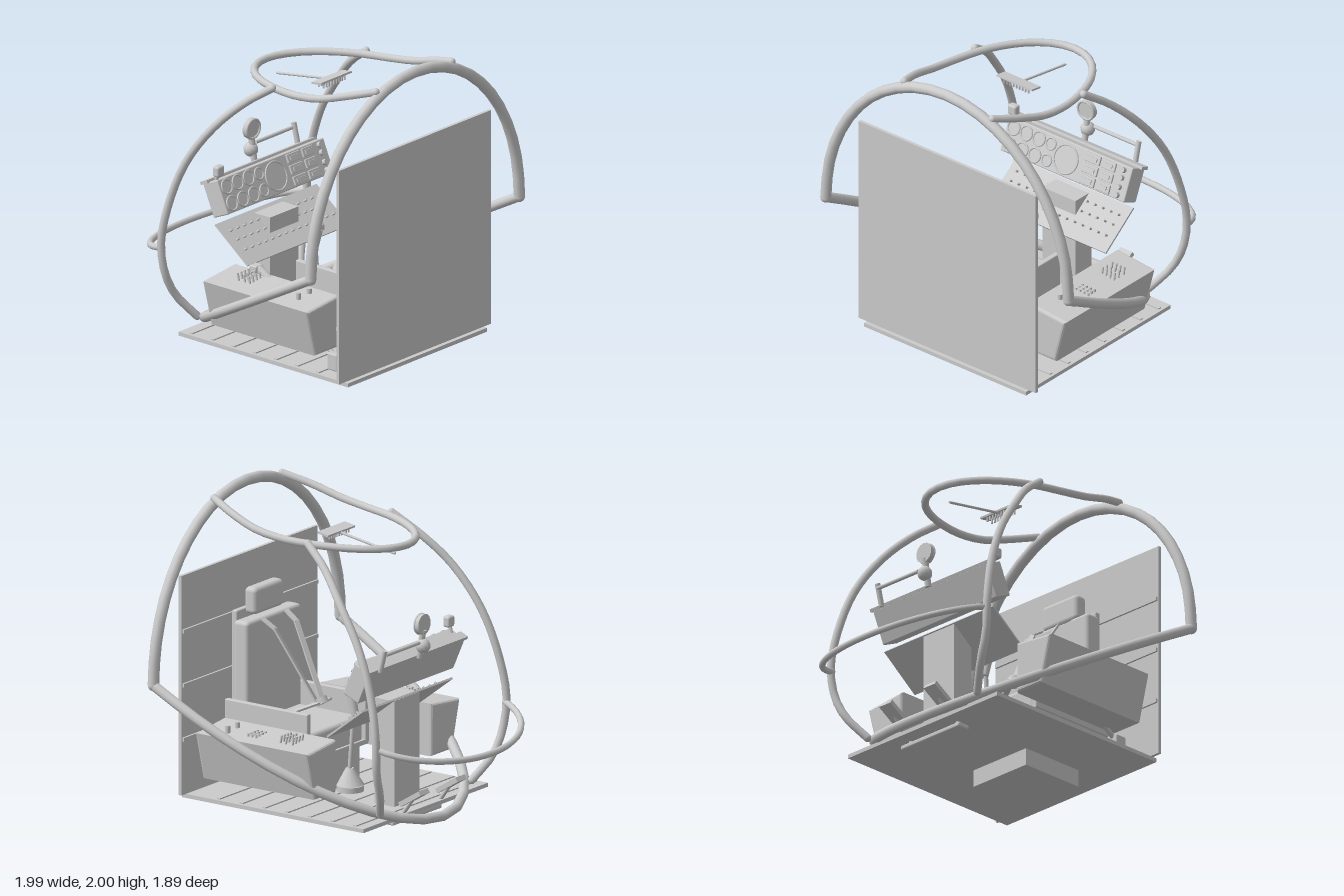
import * as THREE from 'three';
import { RoundedBoxGeometry } from 'three/addons/geometries/RoundedBoxGeometry.js';

const V = (x, y, z) => new THREE.Vector3(x, y, z);

export function createModel() {
  const model = new THREE.Group();
  model.name = 'cockpitSimulator';
  const mat = new THREE.MeshStandardMaterial({ color: 0xcccccc });

  // Helpers
  const add = (name, geo, x = 0, y = 0, z = 0, parent = model) => {
    const m = new THREE.Mesh(geo, mat);
    m.name = name;
    m.position.set(x, y, z);
    parent.add(m);
    return m;
  };
  // Box given by its limits on each axis
  const box = (name, x0, x1, y0, y1, z0, z1, r = 0, parent = model) => {
    const s = [x1 - x0, y1 - y0, z1 - z0];
    const g = r ? new RoundedBoxGeometry(...s, 3, r) : new THREE.BoxGeometry(...s);
    return add(name, g, (x0 + x1) / 2, (y0 + y1) / 2, (z0 + z1) / 2, parent);
  };
  const ball = (name, r, p) => add(name, new THREE.SphereGeometry(r, 12, 8), p.x, p.y, p.z);
  const tube = (name, pts, r, seg = 24) => {
    add(name, new THREE.TubeGeometry(new THREE.CatmullRomCurve3(pts), seg, r, 10));
    ball(name + 'End', r, pts[0]);
    ball(name + 'End', r, pts[pts.length - 1]);
  };
  const rod = (name, a, b, r0, r1 = r0, parent = model) => {
    const d = b.clone().sub(a);
    const m = add(name, new THREE.CylinderGeometry(r1, r0, d.length(), 14), 0, 0, 0, parent);
    m.position.copy(a).addScaledVector(d, 0.5);
    m.quaternion.setFromUnitVectors(V(0, 1, 0), d.normalize());
    return m;
  };
  // Points of an arch, from t0 to PI - t0
  const arch = (t0, f, n = 16) => Array.from({ length: n + 1 }, (_, i) => {
    const t = t0 + (Math.PI - 2 * t0) * i / n;
    return f(Math.cos(t), Math.sin(t));
  });

  // Tubular cage
  tube('rearHoop', arch(0, (c, s) => V(0.96 * c, 0.89 + 1.075 * s, 0.91)), 0.035);
  tube('lowerHoop', arch(0, (c, s) => V(0.96 * c, 0.89 - 0.795 * s, 0.91 - 1.47 * s)), 0.032);
  tube('roofRing', arch(-0.655, (c, s) => V(0.44 * c, 1.795 - 0.04 * s + 0.11 * Math.max(0, -s / 0.61), 0.45 - 0.74 * s)), 0.024, 36);
  tube('noseRing', arch(0.1, (c, s) => V(0.665 * c, 0.67 - 0.12 * s, -0.5 - 0.425 * s)), 0.02);
  for (const s of [-1, 1]) {
    tube('sideBow', [
      [0.43, 1.79, 0.14], [0.49, 1.67, -0.03], [0.57, 1.5, -0.2], [0.62, 1.25, -0.38], [0.65, 0.98, -0.49],
      [0.67, 0.7, -0.545], [0.65, 0.5, -0.535], [0.58, 0.34, -0.51], [0.47, 0.19, -0.43],
    ].map(([x, y, z]) => V(s * x, y, z)), 0.025);
  }

  // Floor, underside and rear wall
  box('floor', -0.64, 0.64, 0.11, 0.135, -0.43, 0.93);
  for (let i = 0; i < 7; i++) {
    const z = 0.67 - i * 0.17;
    box('floorStrip', -0.62, 0.62, 0.135, 0.143, z - 0.012, z + 0.012);
  }
  box('pedestalBase', -0.225, 0.225, 0, 0.37, 0.23, 0.68);
  box('footBar', -0.25, 0.25, 0.055, 0.085, -0.37, -0.28, 0.01);
  for (const s of [-1, 1]) rod('footBarPost', V(s * 0.2, 0.08, -0.325), V(s * 0.2, 0.115, -0.325), 0.015);
  box('rearWall', -0.7, 0.7, 0.14, 1.52, 0.89, 0.91);
  for (const y of [0.49, 0.83, 1.17]) box('wallRib', -0.69, 0.69, y - 0.012, y + 0.012, 0.877, 0.89);

  // Seat
  box('seatCushion', -0.28, 0.28, 0.36, 0.53, 0.24, 0.78, 0.03);
  box('seatBack', -0.28, 0.28, 0.5, 1.16, 0.7, 0.81, 0.025);
  box('seatBackPlate', -0.24, 0.24, 0.4, 1.21, 0.81, 0.85, 0.01);
  box('headrest', -0.15, 0.15, 1.17, 1.34, 0.735, 0.825, 0.03);
  box('seatPan', -0.31, 0.31, 0.35, 0.38, 0.225, 0.84);
  for (const s of [-1, 1]) {
    box('seatSide', s * 0.3 - 0.018, s * 0.3 + 0.018, 0.355, 0.67, 0.225, 0.845, 0.008);
    rod('headrestPost', V(s * 0.07, 1.1, 0.79), V(s * 0.07, 1.2, 0.79), 0.012);
  }

  // Harness: flat straps meeting at a buckle
  const strap = (name, a, b) => {
    const m = add(name, new THREE.BoxGeometry(0.035, 0.012, a.distanceTo(b) + 0.01));
    m.position.copy(a).lerp(b, 0.5);
    m.lookAt(b);
  };
  for (const s of [-1, 1]) {
    strap('shoulderStrap', V(s * 0.12, 1.15, 0.7), V(s * 0.11, 1.1, 0.62));
    strap('shoulderStrap', V(s * 0.11, 1.1, 0.62), V(s * 0.03, 0.67, 0.37));
    strap('lapStrap', V(s * 0.26, 0.55, 0.6), V(s * 0.2, 0.62, 0.44));
    strap('lapStrap', V(s * 0.2, 0.62, 0.44), V(s * 0.03, 0.66, 0.35));
  }
  rod('buckle', V(0, 0.65, 0.34), V(0, 0.685, 0.36), 0.04);

  // Side consoles with switches and knobs
  for (const s of [-1, 1]) {
    const pts = [[0.51, 0.3], [0.69, 0.3], [0.76, 0.565], [0.51, 0.59]].map(([x, y]) => new THREE.Vector2(s * x, y));
    const geo = new THREE.ExtrudeGeometry(new THREE.Shape(pts), {
      depth: 0.81, bevelThickness: 0.02, bevelSize: 0.02, bevelSegments: 3,
    });
    add('sideConsole', geo, 0, 0, -0.1);
    const off = s > 0 ? 0.59 : 0.56;
    for (let i = 0; i < 4; i++) {
      const x = s * (off + i * 0.032);
      for (const z of [0.07, 0.12, 0.16]) rod('toggle', V(x, 0.58, z), V(x, 0.64, z - 0.012), 0.007);
      for (const z of [0.34, 0.37, 0.4]) box('button', x - 0.006, x + 0.006, 0.58, 0.61, z - 0.006, z + 0.006);
    }
    for (const x of [off, off + 0.1]) rod('knob', V(s * x, 0.57, 0.55), V(s * x, 0.635, 0.55), 0.016);
  }

  // Collective lever
  box('leverMount', -0.55, -0.48, 0.14, 0.25, 0.68, 0.76, 0.01);
  rod('leverArm', V(-0.51, 0.22, 0.72), V(-0.51, 0.58, 0.2), 0.016);
  rod('leverGrip', V(-0.51, 0.56, 0.23), V(-0.51, 0.64, 0.1), 0.026);
  box('leverHead', -0.545, -0.48, 0.61, 0.66, 0.05, 0.11, 0.01);

  // Control stick
  rod('stickBoot', V(0, 0.14, 0.135), V(0, 0.175, 0.135), 0.085);
  rod('stickBoot', V(0, 0.175, 0.135), V(0, 0.28, 0.14), 0.085, 0.025);
  rod('stick', V(0, 0.26, 0.14), V(0, 0.63, 0.11), 0.014);
  rod('stickGrip', V(0, 0.62, 0.1), V(0, 0.76, 0.13), 0.024, 0.032);
  box('stickHead', -0.04, 0.04, 0.74, 0.79, 0.09, 0.155, 0.015);

  // Foot pedals
  for (const s of [-1, 1]) {
    box('pedal', s * 0.19 - 0.048, s * 0.19 + 0.048, 0.225, 0.255, -0.57, -0.39).rotation.x = 0.56;
    rod('pedalArm', V(s * 0.19, 0.13, -0.4), V(s * 0.19, 0.23, -0.47), 0.014);
  }

  // Centre column and sloped lower panel
  box('centreColumn', -0.13, 0.13, 0.135, 0.8, -0.29, -0.14);
  const lower = new THREE.Group();
  lower.name = 'lowerPanel';
  lower.position.set(0, 0.71, -0.16);
  lower.rotation.x = 0.655;
  model.add(lower);
  box('panelPlate', -0.465, 0.465, -0.006, 0.006, -0.165, 0.165, 0, lower);
  for (let i = 0; i < 14; i++) {
    const x = -0.4 + i * 0.062;
    for (const z of [-0.09, -0.02, 0.06]) rod('toggle', V(x, 0, z), V(x, 0.03, z + 0.008), 0.007, 0.007, lower);
  }

  // Main instrument panel, leaning away from the seat
  const panel = new THREE.Group();
  panel.name = 'instrumentPanel';
  panel.position.set(0, 0.99, -0.265);
  panel.rotation.x = -0.41;
  model.add(panel);
  box('panelBody', -0.49, 0.49, -0.11, 0.11, -0.065, 0.06, 0.008, panel);
  box('glareShield', -0.505, 0.505, 0.105, 0.125, -0.07, -0.01, 0, panel);
  const gauge = (x, y, r) => {
    rod('gaugeFace', V(x, y, 0.05), V(x, y, 0.066), r, r, panel);
    add('gaugeRim', new THREE.TorusGeometry(r, 0.006, 8, 24), x, y, 0.066, panel);
  };
  for (const x of [-0.43, -0.33, -0.23]) for (const y of [-0.053, 0.053]) gauge(x, y, 0.044);
  gauge(0, 0, 0.09);
  gauge(-0.135, 0.053, 0.036);
  gauge(-0.135, -0.053, 0.036);
  for (const [x0, x1] of [[0.13, 0.25], [0.27, 0.37]]) {
    for (const y of [-0.07, 0, 0.07]) {
      box('radioModule', x0, x1, y - 0.028, y + 0.028, 0.05, 0.072, 0.004, panel);
      box('radioKey', x0 + 0.02, x1 - 0.02, y - 0.012, y + 0.012, 0.07, 0.08, 0, panel);
    }
  }
  for (const y of [-0.08, -0.03, 0.03, 0.08]) rod('panelKnob', V(0.43, y, 0.05), V(0.43, y, 0.085), 0.018, 0.018, panel);

  // Fittings on top of the panel
  rod('compassStem', V(0, 1.06, -0.38), V(0, 1.24, -0.41), 0.02);
  ball('compassBase', 0.046, V(0, 1.14, -0.41));
  rod('compassDisc', V(0, 1.275, -0.42), V(0, 1.275, -0.39), 0.065);
  add('compassRim', new THREE.TorusGeometry(0.06, 0.008, 8, 24), 0, 1.275, -0.39);
  box('canister', -0.495, -0.43, 1.13, 1.2, -0.29, -0.24, 0.015);
  rod('canisterFoot', V(-0.46, 1.08, -0.29), V(-0.46, 1.15, -0.27), 0.012);
  rod('sensorRod', V(0.05, 1.17, -0.415), V(0.4, 1.17, -0.415), 0.012);
  rod('sensorPost', V(0.4, 1.06, -0.38), V(0.4, 1.2, -0.415), 0.017);

  // Overhead switch plate on its arm
  rod('overheadArm', V(0, 1.755, 0.24), V(0, 1.685, -0.2), 0.008);
  box('overheadPlate', -0.14, 0.14, 1.757, 1.769, 0.2, 0.28).rotation.x = -0.16;
  for (let i = 0; i < 9; i++) {
    const x = -0.096 + i * 0.024;
    for (const z of [0.22, 0.26]) rod('overheadToggle', V(x, 1.76, z), V(x, 1.725, z), 0.006);
  }
  return model;
}
